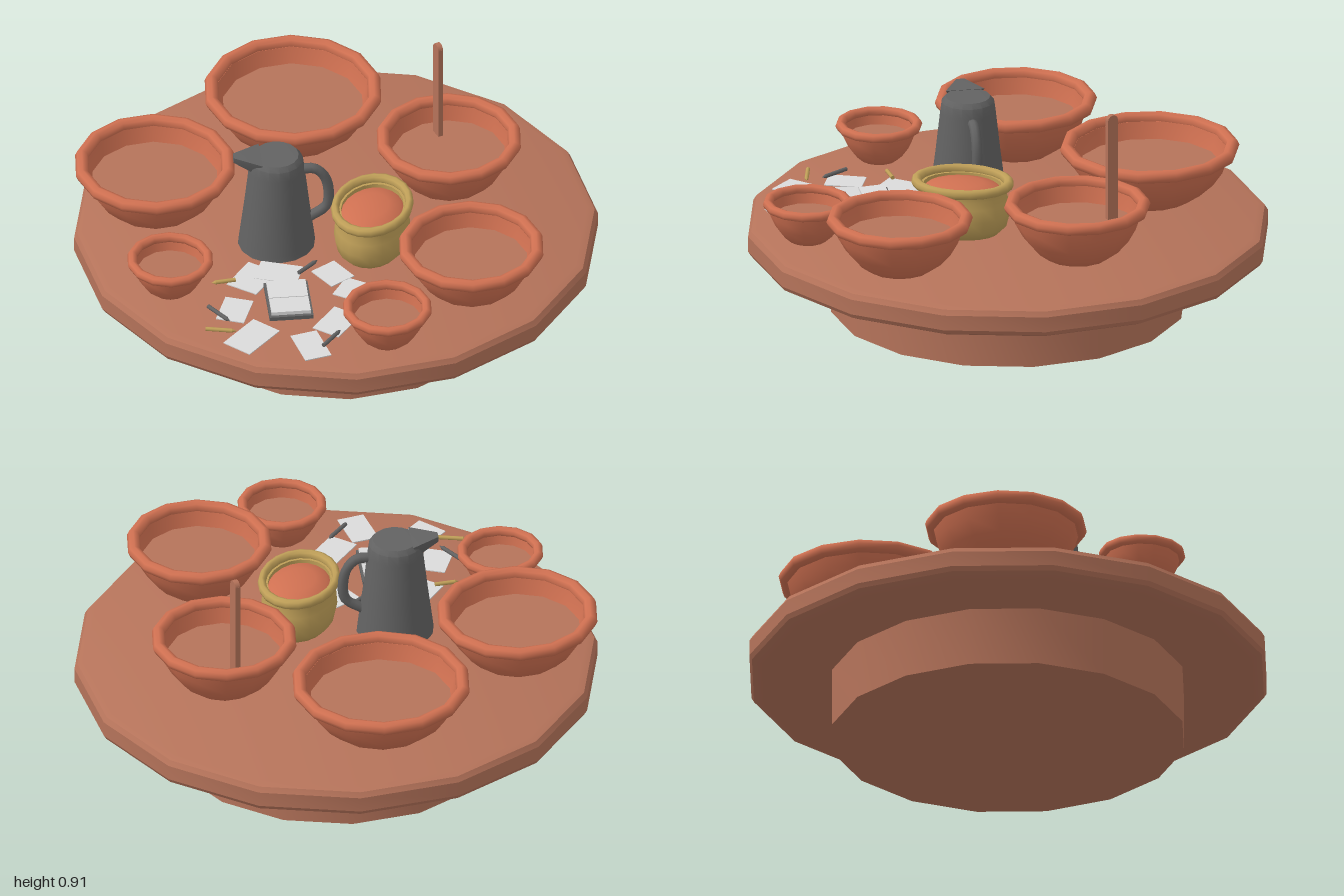
import * as THREE from 'three';
import { toCreasedNormals } from 'three/addons/utils/BufferGeometryUtils.js';
import { ConvexGeometry } from 'three/addons/geometries/ConvexGeometry.js';

const material = (name, color) => {
  const m = new THREE.MeshStandardMaterial({ color });
  m.name = name;
  return m;
};

export function createModel() {
  const model = new THREE.Group();
  const wood = material('brown wood', 0xb5735a);
  const clay = material('terracotta clay', 0xcf7051);
  const gold = material('ochre glaze', 0xbf9f58);
  const iron = material('dark grey metal', 0x626262);
  const paper = material('pale paper', 0xdadada);
  const TOP = 0.355;

  const add = (parent, name, geometry, mat, x = 0, y = 0, z = 0) => {
    const mesh = new THREE.Mesh(geometry, mat);
    mesh.name = name;
    mesh.position.set(x, y, z);
    parent.add(mesh);
    return mesh;
  };
  const group = (name, x, y, z, turn = 0) => {
    const g = new THREE.Group();
    g.name = name;
    g.position.set(x, y, z);
    g.rotation.y = turn;
    model.add(g);
    return g;
  };
  const lathe = (points, sides, crease = 0.6) => toCreasedNormals(
    new THREE.LatheGeometry(points.map(([r, y]) => new THREE.Vector2(r, y)), sides), crease);
  const heading = (dx, dz) => Math.atan2(-dz, dx);

  // Round table: pedestal and chamfered top
  add(model, 'pedestal', lathe([[0, 0], [0.68, 0], [0.68, 0.235], [0, 0.235]], 16), wood);
  add(model, 'tableTop', lathe([[0, 0.23], [0.95, 0.23], [0.99, 0.248], [1, 0.265], [1, 0.325],
    [0.988, 0.345], [0.96, TOP], [0, TOP]], 16, 0.5), wood);

  // Bowls: wall, thick rolled rim and a flat filling
  const bowl = (name, x, z, r, h, tube) => {
    const g = group(name, x, TOP, z);
    const neck = r - tube * 1.1;
    const wall = [[0, 0], [0.48, 0], [0.65, 0.14], [0.82, 0.36], [0.94, 0.6], [1, 0.86]]
      .map(([a, b]) => [a * neck, b * h]);
    const inner = [[0.93, 0.86], [0.9, 0.7], [0.84, 0.5]].map(([a, b]) => [a * neck, b * h]);
    add(g, 'bowlWall', lathe([...wall, ...inner], 14, 0.8), clay);
    const rim = new THREE.TorusGeometry(r - tube, tube, 8, 14).rotateX(Math.PI / 2).rotateY(Math.PI / 2);
    add(g, 'bowlRim', rim, clay, 0, h - tube, 0);
    add(g, 'bowlFilling', lathe([[neck * 0.89, 0.58 * h], [0, 0.59 * h]], 14), wood);
  };
  bowl('backBowl', 0.105, -0.565, 0.343, 0.228, 0.026);
  bowl('backRightBowl', -0.58, -0.38, 0.31, 0.228, 0.026);
  bowl('leftBowl', 0.49, -0.015, 0.28, 0.228, 0.025);
  bowl('frontLeftBowl', 0.255, 0.632, 0.28, 0.22, 0.025);
  bowl('smallRightBowl', -0.768, 0.115, 0.166, 0.157, 0.019);
  bowl('smallFrontBowl', -0.18, 0.78, 0.172, 0.166, 0.019);

  // Flat stirring stick with a rounded end, standing in the left bowl
  const stick = group('stirringStick', 0.515, 0, -0.153);
  add(stick, 'stickShaft', new THREE.BoxGeometry(0.02, 0.43, 0.045), wood, 0, 0.675, 0);
  add(stick, 'stickEnd', new THREE.CylinderGeometry(0.0225, 0.0225, 0.02, 12).rotateZ(Math.PI / 2),
    wood, 0, 0.888, 0);

  // Oval ochre pot with a domed filling
  const pot = group('ovalPot', 0.04, TOP, 0.225, 0.82);
  pot.scale.set(1, 1, 0.78);
  add(pot, 'potWall', lathe([[0, 0], [0.14, 0], [0.17, 0.03], [0.183, 0.08], [0.178, 0.13],
    [0.168, 0.16], [0.172, 0.19], [0.15, 0.19], [0.15, 0.15]], 20, 0.8), gold);
  add(pot, 'potRim', new THREE.TorusGeometry(0.178, 0.02, 8, 20).rotateX(Math.PI / 2), gold, 0, 0.197, 0);
  add(pot, 'potFilling', lathe([[0.16, 0.165], [0.135, 0.185], [0.08, 0.198], [0, 0.203]], 20), clay);

  // Pitcher: tapered body, pointed spout and curved handle
  const pitcher = group('pitcher', -0.265, 0, 0.02, heading(0.2, 0.075));
  add(pitcher, 'pitcherBody', lathe([[0, TOP], [0.148, TOP], [0.145, 0.38], [0.126, 0.53],
    [0.107, 0.7], [0.101, 0.742], [0.085, 0.76], [0, 0.762]], 16), iron);
  const spout = [];
  for (const s of [-1, 1]) {
    spout.push(new THREE.Vector3(-0.06, 0.762, 0.075 * s), new THREE.Vector3(-0.165, 0.767, 0.016 * s),
      new THREE.Vector3(-0.165, 0.743, 0.012 * s), new THREE.Vector3(-0.09, 0.7, 0.03 * s));
  }
  spout.push(new THREE.Vector3(-0.12, 0.768, 0));
  add(pitcher, 'pitcherSpout', toCreasedNormals(new ConvexGeometry(spout), 0.6), iron);
  const handle = new THREE.CatmullRomCurve3([[0.09, 0.685], [0.145, 0.683], [0.183, 0.645],
    [0.2, 0.575], [0.19, 0.505], [0.12, 0.455]].map(([x, y]) => new THREE.Vector3(x, y, 0)));
  add(pitcher, 'pitcherHandle', new THREE.TubeGeometry(handle, 16, 0.02, 8), iron);

  // Loose sheets: x, z, length, width, direction of the long side
  [[-0.46, 0.2, 0.165, 0.13, 25, -16], [-0.355, 0.215, 0.165, 0.115, 25, 21],
    [-0.615, 0.355, 0.145, 0.11, -16, 18], [-0.635, 0.535, 0.19, 0.125, 33, -16],
    [-0.46, 0.69, 0.168, 0.105, -4, 31], [-0.305, 0.6, 0.16, 0.115, -26, 16],
    [-0.145, 0.45, 0.14, 0.12, 15, 20], [-0.175, 0.315, 0.125, 0.11, 4, 20],
  ].forEach(([x, z, l, w, dx, dz], i) => {
    const sheet = add(model, 'paperSheet', new THREE.BoxGeometry(l, 0.004, w), paper,
      x, TOP + 0.003 + 0.0015 * (i % 3), z);
    sheet.rotation.y = heading(dx, dz);
  });

  // Open notebook: dark cover and two sloping page blocks
  const book = group('notebook', -0.41, TOP, 0.405, heading(-15, 39));
  add(book, 'notebookCover', new THREE.BoxGeometry(0.225, 0.016, 0.168), iron, 0, 0.014, 0);
  for (const s of [-1, 1]) {
    const pages = add(book, 'notebookPages', new THREE.BoxGeometry(0.1, 0.014, 0.15), paper, 0.052 * s, 0.028, 0);
    pages.rotation.z = 0.06 * s;
  }

  // Pencils and pens laid between two points
  const pen = (name, mat, x1, z1, x2, z2) => {
    const length = Math.hypot(x2 - x1, z2 - z1);
    const g = group(name, (x1 + x2) / 2, TOP + 0.017, (z1 + z2) / 2, heading(x2 - x1, z2 - z1));
    add(g, 'shaft', new THREE.CylinderGeometry(0.008, 0.008, length * 0.84, 8).rotateZ(-Math.PI / 2),
      mat, -length * 0.08, 0, 0);
    add(g, 'tip', new THREE.ConeGeometry(0.008, length * 0.16, 8).rotateZ(-Math.PI / 2),
      mat, length * 0.42, 0, 0);
  };
  pen('pencil', gold, -0.53, 0.195, -0.62, 0.172);
  pen('pencil', gold, -0.775, 0.425, -0.675, 0.492);
  pen('pen', iron, -0.7, 0.3, -0.67, 0.425);
  pen('pen', iron, -0.295, 0.265, -0.195, 0.225);
  pen('pen', iron, -0.425, 0.725, -0.32, 0.665);

  return model;
}
